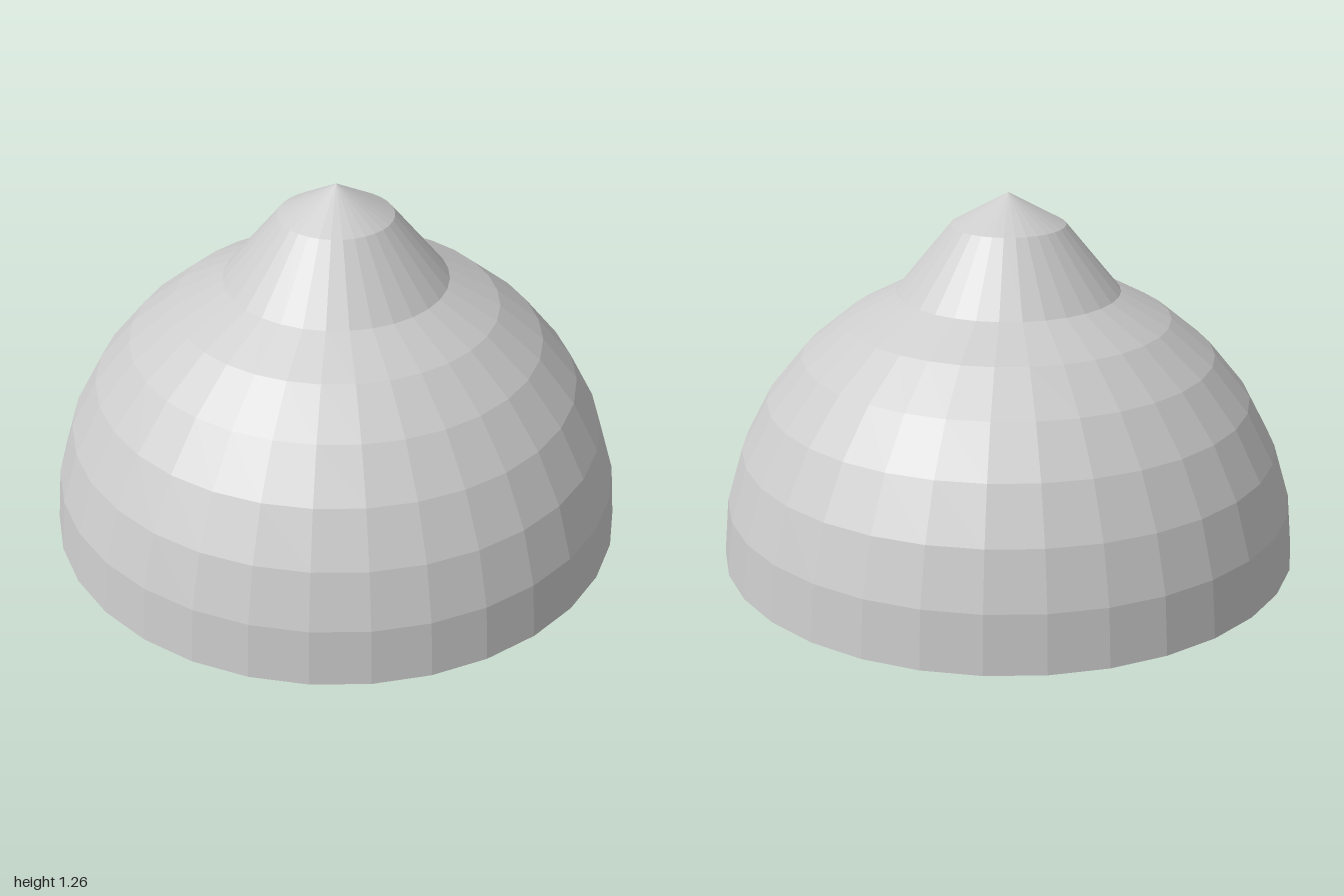
import * as THREE from 'three';

const SEGMENTS = 32;

export function createModel() {
  const group = new THREE.Group();
  group.name = 'pointedDome';
  const material = new THREE.MeshStandardMaterial({ color: 0xcccccc, flatShading: true });

  // Closed flat base, then the rings of a hemisphere up to the shoulder
  const profile = [new THREE.Vector2(0, 0)];
  for (let i = 0; i <= 6; i++) {
    const angle = (i * Math.PI) / 16;
    profile.push(new THREE.Vector2(Math.cos(angle), Math.sin(angle)));
  }
  const shoulder = profile[profile.length - 1];

  // Raised cap: steep collar and shallow pointed tip
  const capProfile = [shoulder, new THREE.Vector2(0.195, 1.152), new THREE.Vector2(0, 1.26)];

  const addLathe = (name, points) => {
    const mesh = new THREE.Mesh(new THREE.LatheGeometry(points, SEGMENTS), material);
    mesh.name = name;
    group.add(mesh);
  };
  addLathe('dome', profile);
  addLathe('pointedCap', capProfile);

  return group;
}
